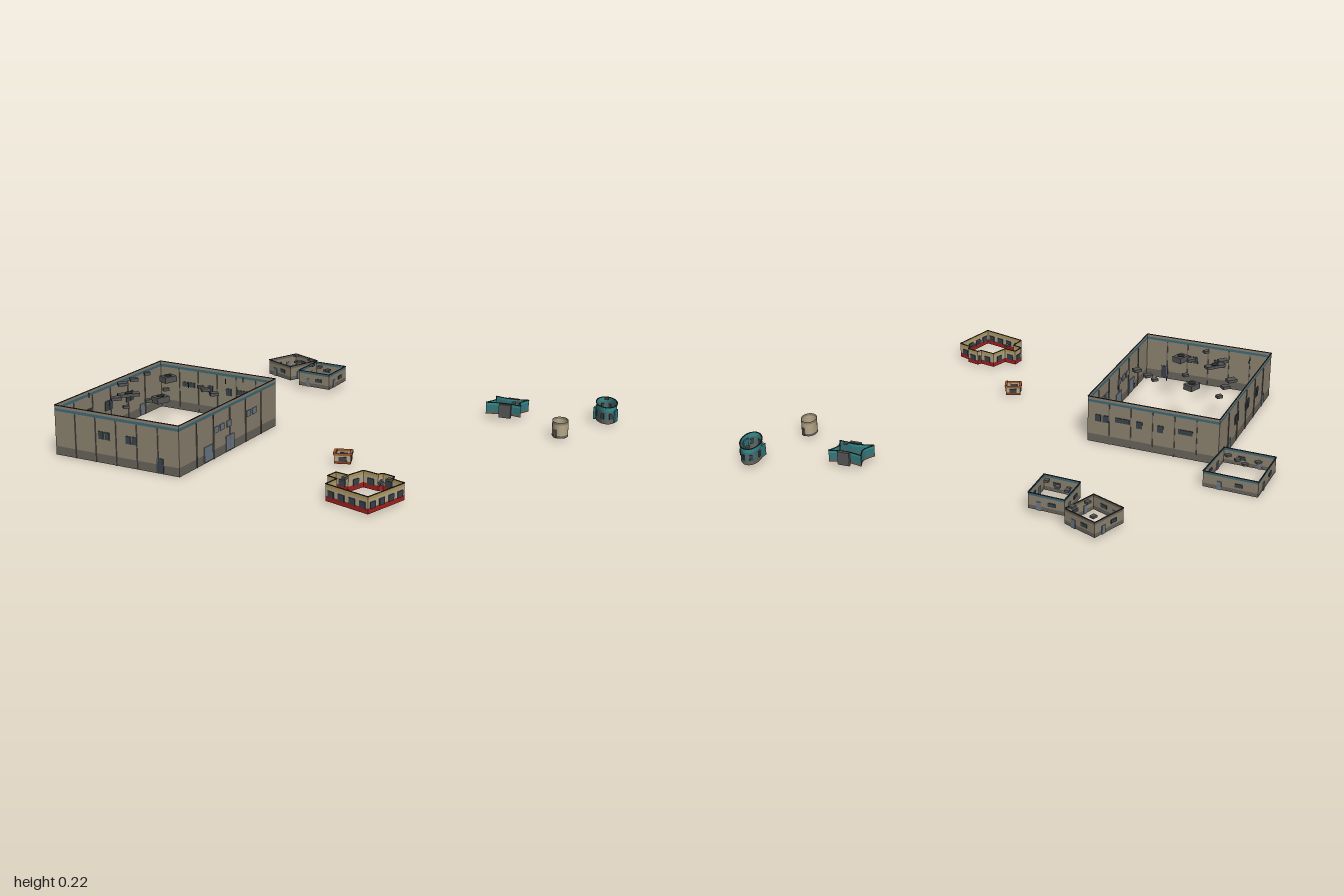
import * as THREE from 'three';

const mats = {};
const mat = (c) => (mats[c] ??= new THREE.MeshStandardMaterial({ color: c, side: THREE.DoubleSide }));
const BEIGE = 0x8c8370, BASE = 0x68635b, BLUE = 0x3d6a7a, DARK = 0x2b2b2b, GREY = 0x555555,
  TEAL = 0x34797c, RED = 0xa3201f, CREAM = 0xb5a687, GLASS = 0x39424a, DOOR = 0x6d7985, YELLOW = 0xb39a58;

// Closed ribbon of wall following a plan outline between two heights
function band(pts, y0, y1, color, smooth, name) {
  const pos = [], idx = [], n = pts.length;
  pts.forEach(([x, z], i) => {
    pos.push(x, y0, z, x, y1, z);
    const a = 2 * i, b = 2 * ((i + 1) % n);
    idx.push(a, b, b + 1, a, b + 1, a + 1);
  });
  let g = new THREE.BufferGeometry();
  g.setAttribute('position', new THREE.Float32BufferAttribute(pos, 3));
  g.setIndex(idx);
  if (!smooth) g = g.toNonIndexed();
  g.computeVertexNormals();
  const m = new THREE.Mesh(g, mat(color));
  m.name = name;
  return m;
}

// Plan outlines are listed clockwise in x/z so that the outside is on the +normal side
function building(name, pts, layers, smooth = false) {
  const g = new THREE.Group();
  g.name = name;
  for (const [y0, y1, color, part] of layers) g.add(band(pts, y0, y1, color, smooth, part));
  return g;
}

function box(g, name, x, y, z, w, h, d, ry, color) {
  const m = new THREE.Mesh(new THREE.BoxGeometry(w, h, d), mat(color));
  m.position.set(x, y, z);
  m.rotation.y = ry;
  m.name = name;
  g.add(m);
}

// Box set into the wall from a to b, at fraction u along it
function onWall(g, name, a, b, u, w, y0, y1, color, depth = 0.006) {
  const dx = b[0] - a[0], dz = b[1] - a[1];
  box(g, name, a[0] + dx * u, (y0 + y1) / 2, a[1] + dz * u, w, y1 - y0, depth, Math.atan2(-dz, dx), color);
}

const edges = (pts) => pts.map((p, i) => [p, pts[(i + 1) % pts.length]]);
const len = ([a, b]) => Math.hypot(b[0] - a[0], b[1] - a[1]);

// Thin dark coping along the wall tops
function coping(g, pts, y, color = DARK) {
  for (const e of edges(pts)) onWall(g, 'coping', e[0], e[1], 0.5, len(e), y - 0.003, y, color, 0.004);
}

// Rooftop units: [x, z, width, depth, height]
function roofUnits(g, list, y, ry) {
  for (const [x, z, w, d, h] of list) {
    box(g, 'roofUnit', x, y + h / 2, z, w, h, d, ry, GREY);
    if (w > 0.045) {
      const fan = new THREE.Mesh(new THREE.CylinderGeometry(0.015, 0.015, 0.004, 16), mat(DARK));
      fan.position.set(x, y + h + 0.001, z);
      fan.name = 'fan';
      g.add(fan);
    }
  }
}

function ellipse(cx, cz, a, b, angle, n = 32) {
  return Array.from({ length: n }, (_, i) => {
    const t = (i / n) * Math.PI * 2, x = a * Math.cos(t), z = b * Math.sin(t);
    return [cx + x * Math.cos(angle) - z * Math.sin(angle), cz + x * Math.sin(angle) + z * Math.cos(angle)];
  });
}

function mainHall() {
  const pts = [[-0.79, 0.15], [-0.13, -0.11], [-0.33, -0.63], [-1, -0.37]];
  const g = building('mainHall', pts, [[0, 0.035, BASE, 'plinth'], [0.035, 0.176, BEIGE, 'wall'],
    [0.176, 0.187, BLUE, 'stripe'], [0.187, 0.2, BEIGE, 'parapet']]);
  coping(g, pts, 0.2);
  const [front, right, back, left] = edges(pts);
  for (const e of [front, right, back, left])
    for (let i = 1; i < 6; i++) onWall(g, 'downpipe', ...e, i / 6, 0.004, 0, 0.175, BASE);
  for (const u of [0.36, 0.42, 0.49, 0.7, 0.76]) onWall(g, 'window', ...front, u, 0.03, 0.1, 0.125, DOOR);
  for (const u of [0.28, 0.5]) onWall(g, 'loadingDoor', ...front, u, 0.06, 0.005, 0.065, DOOR);
  for (const u of [0.08, 0.14, 0.4, 0.56]) onWall(g, 'window', ...right, u, 0.025, 0.095, 0.125, GLASS);
  for (const u of [0.27, 0.75]) onWall(g, 'louvre', ...right, u, 0.06, 0.105, 0.125, GLASS);
  for (const u of [0.3, 0.34, 0.5, 0.54, 0.68, 0.72]) onWall(g, 'window', ...back, u, 0.022, 0.085, 0.125, GLASS);
  for (const u of [0.2, 0.85]) onWall(g, 'door', ...back, u, 0.03, 0.005, 0.05, DOOR);
  for (const u of [0.38, 0.43, 0.6, 0.65]) onWall(g, 'window', ...left, u, 0.022, 0.095, 0.125, GLASS);
  onWall(g, 'door', ...left, 0.85, 0.03, 0.005, 0.06, GLASS);
  roofUnits(g, [[-0.65, -0.43, 0.04, 0.03, 0.012], [-0.58, -0.455, 0.033, 0.025, 0.012], [-0.49, -0.495, 0.024, 0.02, 0.012],
    [-0.78, -0.28, 0.04, 0.03, 0.012], [-0.715, -0.29, 0.085, 0.03, 0.012], [-0.56, -0.26, 0.024, 0.02, 0.01],
    [-0.81, -0.165, 0.022, 0.02, 0.01], [-0.695, -0.175, 0.035, 0.025, 0.012], [-0.435, -0.2, 0.025, 0.02, 0.01],
    [-0.445, -0.155, 0.033, 0.025, 0.012], [-0.455, -0.085, 0.033, 0.025, 0.012]].map(
    ([x, z, w, d, h]) => [x, z, w, d, h]), 0.197, x_tilt(-0.715));
  roofUnits(g, [[-0.48, -0.36, 0.055, 0.043, 0.024], [-0.665, -0.145, 0.055, 0.043, 0.024]], 0.197, 0);
  for (const [x, z] of [[-0.47, -0.235], [-0.325, -0.185], [-0.26, -0.155], [-0.845, -0.37]])
    box(g, 'mast', x, 0.207, z, 0.003, 0.02, 0.003, 0, DARK);
  return g;
}
// Units sit slightly turned, as the hall does
function x_tilt() { return -0.37; }

function annexes() {
  const g = new THREE.Group();
  g.name = 'annexes';
  const list = [
    ['rearAnnex', [[-0.365, -0.63], [-0.15, -0.7], [-0.225, -0.91], [-0.44, -0.83]], 0, 0.068, BLUE,
      [[-0.35, -0.81], [-0.3, -0.785], [-0.31, -0.74], [-0.315, -0.69]], -0.37],
    ['squareAnnex', [[0.3, -0.545], [0.455, -0.545], [0.455, -0.695], [0.3, -0.695]], 0.015, 0.08, BASE,
      [[0.43, -0.665], [0.365, -0.575], [0.43, -0.56]], 0],
    ['turnedAnnex', [[0.325, -0.31], [0.47, -0.37], [0.42, -0.51], [0.275, -0.455]], 0.02, 0.088, BLUE,
      [[0.362, -0.47], [0.368, -0.425], [0.36, -0.36]], 0.37],
  ];
  for (const [name, pts, y0, y1, trim, units, ry] of list) {
    const b = building(name, pts, [[y0, y0 + 0.016, BASE, 'plinth'], [y0 + 0.016, y1 - 0.012, BEIGE, 'wall'], [y1 - 0.012, y1, trim, 'stripe']]);
    coping(b, pts, y1);
    for (const e of edges(pts)) {
      onWall(b, 'door', ...e, 0.3, 0.018, y0, y0 + 0.035, DOOR);
      onWall(b, 'window', ...e, 0.65, 0.03, y0 + 0.025, y0 + 0.04, GLASS);
    }
    roofUnits(b, units.map(([x, z]) => [x, z, 0.022, 0.018, 0.009]), y1 - 0.002, ry);
    g.add(b);
  }
  return g;
}

function diner() {
  const pts = [[-0.555, 0.705], [-0.49, 0.69], [-0.495, 0.645], [-0.447, 0.635], [-0.435, 0.688], [-0.36, 0.685],
    [-0.347, 0.75], [-0.328, 0.754], [-0.32, 0.807], [-0.342, 0.818], [-0.337, 0.877], [-0.53, 0.9]];
  const g = building('diner', pts, [[0.01, 0.03, RED, 'plinth'], [0.03, 0.062, CREAM, 'wall'], [0.062, 0.073, YELLOW, 'fascia']]);
  coping(g, pts, 0.076);
  for (const e of edges(pts)) {
    const n = Math.max(1, Math.floor(len(e) / 0.045));
    for (let i = 0; i < n; i++) onWall(g, 'window', ...e, (i + 0.5) / n, Math.min(0.028, len(e) * 0.55), 0.027, 0.052, GLASS);
  }
  roofUnits(g, [[-0.465, 0.705, 0.02, 0.016, 0.009], [-0.407, 0.83, 0.02, 0.016, 0.009], [-0.36, 0.822, 0.02, 0.016, 0.009]], 0.072, 0.1);
  return g;
}

function kiosk() {
  const pts = [[-0.272, 0.42], [-0.23, 0.383], [-0.19, 0.43], [-0.23, 0.467]];
  const g = building('kiosk', pts, [[0.01, 0.02, 0x8a3f25, 'plinth'], [0.02, 0.042, CREAM, 'wall'], [0.042, 0.052, 0x9c5a30, 'fascia']]);
  edges(pts).forEach((e, i) => {
    onWall(g, 'window', ...e, 0.5, 0.03, 0.02, 0.038, GLASS);
    if (i % 2 === 0) onWall(g, 'awning', ...e, 0.5, 0.05, 0.042, 0.052, 0x9c5a30, 0.01);
  });
  return g;
}

// Pavilion whose four walls bow inwards
function bowedPavilion() {
  const c = [[0.598, 0.365], [0.693, 0.333], [0.753, 0.46], [0.665, 0.497]], mid = [0.677, 0.414], pts = [];
  for (const [a, b] of edges(c))
    for (let i = 0; i < 6; i++) {
      const t = i / 6, s = 0.26 * 4 * t * (1 - t);
      pts.push([0, 1].map((k) => { const p = a[k] + (b[k] - a[k]) * t; return p + (mid[k] - p) * s; }));
    }
  const g = building('bowedPavilion', pts, [[0.02, 0.03, BASE, 'plinth'], [0.03, 0.058, TEAL, 'wall'], [0.058, 0.07, 0x2d9092, 'fascia']]);
  coping(g, pts, 0.07);
  for (const [x, z] of [[0.632, 0.44], [0.722, 0.405]]) box(g, 'porch', x, 0.041, z, 0.012, 0.056, 0.05, 0.44, GREY);
  roofUnits(g, [[0.668, 0.455, 0.018, 0.014, 0.008]], 0.068, 0.44);
  return g;
}

function ovalBuildings() {
  const g = new THREE.Group();
  g.name = 'ovalBuildings';
  const big = ellipse(0.935, 0.72, 0.078, 0.042, -0.76), small = ellipse(0.632, 0.74, 0.043, 0.032, -0.76);
  const a = building('largeOval', big, [[0.015, 0.03, BASE, 'plinth'], [0.03, 0.068, 0x4c6f70, 'wall'], [0.068, 0.085, 0x2d9092, 'fascia']], true);
  coping(a, big, 0.086);
  for (const [x, z] of [[0.905, 0.69], [0.925, 0.775]]) box(a, 'canopy', x, 0.042, z, 0.035, 0.05, 0.01, 0.35, TEAL);
  for (let i = 2; i < 32; i += 4) onWall(a, 'window', big[i], big[(i + 1) % 32], 0.5, 0.014, 0.035, 0.058, GLASS);
  roofUnits(a, [[0.977, 0.685, 0.016, 0.014, 0.008]], 0.08, 0.4);
  const b = building('smallOval', small, [[0.012, 0.022, BASE, 'plinth'], [0.022, 0.066, CREAM, 'wall'], [0.066, 0.076, BEIGE, 'fascia']], true);
  for (const i of [3, 19]) onWall(b, 'door', small[i], small[i + 1], 0.5, 0.014, 0.012, 0.045, BASE);
  g.add(a, b);
  return g;
}

export function createModel() {
  const model = new THREE.Group();
  model.name = 'buildingGroup';
  model.add(mainHall(), annexes(), diner(), kiosk(), bowedPavilion(), ovalBuildings());
  return model;
}
